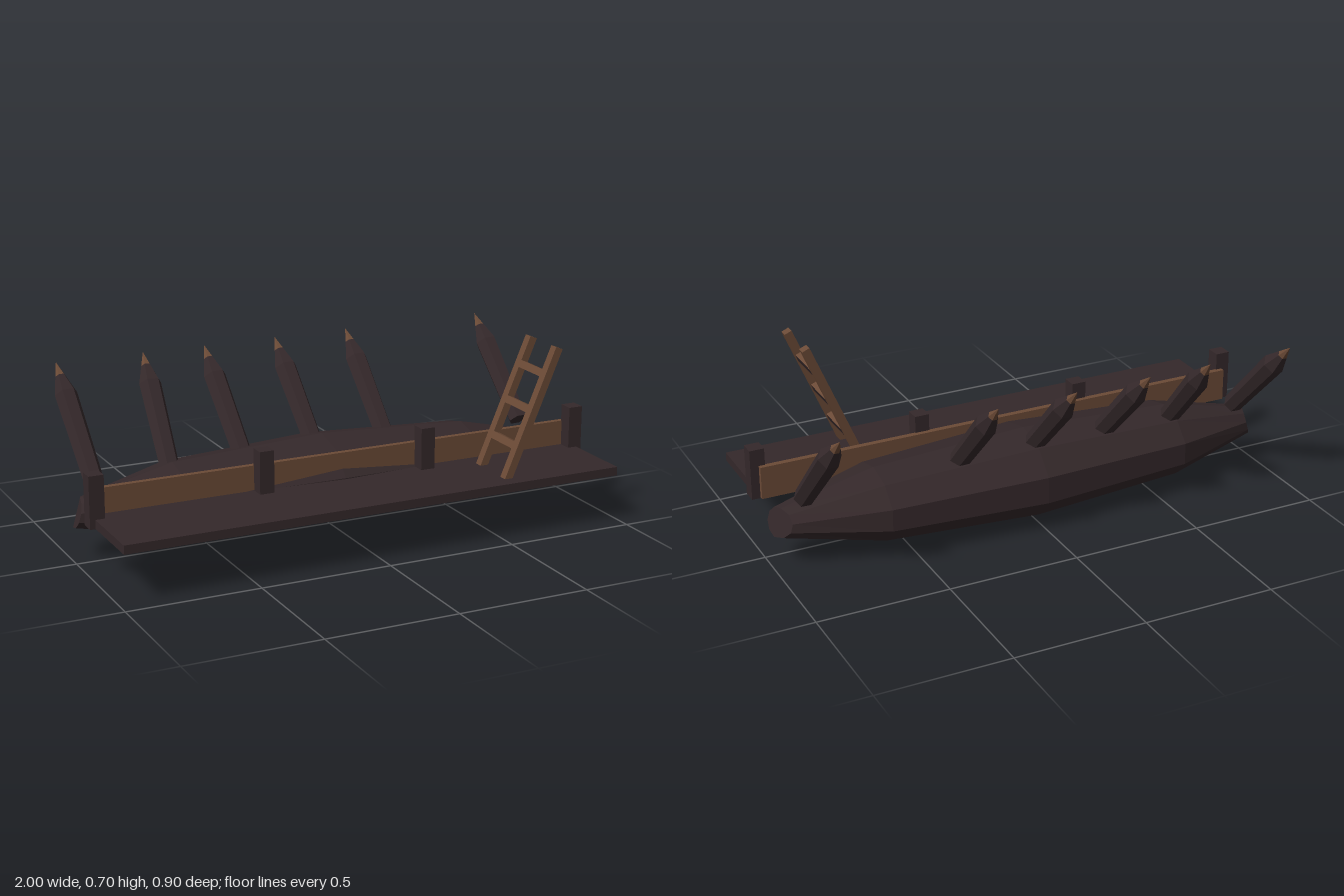
import * as THREE from 'three';

const dark = new THREE.MeshStandardMaterial({ color: 0x34282a });
dark.name = 'dark timber';
const brown = new THREE.MeshStandardMaterial({ color: 0x6b4a36 });
brown.name = 'brown wood';

function add(parent, name, geometry, material, x = 0, y = 0, z = 0) {
  const mesh = new THREE.Mesh(geometry, material);
  mesh.name = name;
  mesh.position.set(x, y, z);
  parent.add(mesh);
  return mesh;
}

// Box given by its limits on each axis
function box(parent, name, material, x0, x1, y0, y1, z0, z1) {
  return add(parent, name, new THREE.BoxGeometry(x1 - x0, y1 - y0, z1 - z0), material,
    (x0 + x1) / 2, (y0 + y1) / 2, (z0 + z1) / 2);
}

function faceted(geometry) {
  const flat = geometry.toNonIndexed();
  flat.computeVertexNormals();
  return flat;
}

// Ten-sided log along x, tapering to blunt ends
function logGeometry() {
  const geometry = new THREE.CylinderGeometry(1, 1, 4, 10, 4, false, Math.PI / 2);
  geometry.rotateZ(Math.PI / 2);
  const p = geometry.attributes.position;
  const stations = [0, 0.6, 0.97];
  const scales = [1, 0.815, 0.32];
  for (let i = 0; i < p.count; i++) {
    const ring = Math.round(Math.abs(p.getX(i)));
    const s = scales[ring];
    const y = p.getY(i), z = p.getZ(i);
    const slant = ring === 2 ? -0.015 * y + 0.02 * z - 0.01 * Math.abs(z) : 0;
    p.setXYZ(i, Math.sign(p.getX(i)) * (stations[ring] + slant), y * 0.168 * s, z * 0.22 * s);
  }
  return faceted(geometry);
}

// Sharpened stake from a base point to a tip point
function stake(parent, baseX, tipX) {
  const base = new THREE.Vector3(baseX, 0.27, -0.108);
  const tip = new THREE.Vector3(tipX, 0.63, -0.446);
  const length = base.distanceTo(tip);
  const group = new THREE.Group();
  group.name = 'stake';
  group.position.copy(base);
  group.quaternion.setFromUnitVectors(new THREE.Vector3(0, 1, 0),
    tip.clone().sub(base).normalize());
  parent.add(group);
  const point = 0.135, tipLength = 0.06, shaft = length - point;
  const tipRadius = 0.043 * tipLength / point;
  const turn = Math.PI / 6;
  const part = (name, top, bottom, height, y, material, open) => add(group, name,
    faceted(new THREE.CylinderGeometry(top, bottom, height, 6, 1, open, turn)),
    material, 0, y + height / 2, 0);
  part('stakeShaft', 0.043, 0.038, shaft, 0, dark, false);
  part('stakePoint', tipRadius, 0.043, point - tipLength, shaft, dark, true);
  part('stakeTip', 0, tipRadius, tipLength, length - tipLength, brown, true);
}

// Ladder leaning toward +x
function ladder(parent) {
  const group = new THREE.Group();
  group.name = 'ladder';
  const lean = 0.4;
  group.position.set(0.635, 0.44, 0.288);
  group.rotation.z = -lean;
  parent.add(group);
  for (const side of [-1, 1]) {
    add(group, 'ladderRail', new THREE.BoxGeometry(0.03, 0.55, 0.034), brown, 0, 0, side * 0.09);
  }
  // Rungs are dark on the outer face and underside
  const rungMaterials = [dark, brown, brown, dark, brown, brown];
  for (const height of [0.331, 0.463, 0.593]) {
    add(group, 'ladderRung', new THREE.BoxGeometry(0.03, 0.028, 0.15), rungMaterials,
      0, (height - 0.44) / Math.cos(lean), 0);
  }
}

export function createModel() {
  const model = new THREE.Group();
  model.name = 'palisadeWalkway';

  add(model, 'log', logGeometry(), dark, 0, 0.172, -0.07);

  // Walkway with a plank rail and four posts
  box(model, 'platform', dark, -0.98, 0.98, 0.187, 0.22, 0.11, 0.45);
  box(model, 'railPlank', brown, -0.968, 0.968, 0.19, 0.315, 0.09, 0.112);
  for (const x of [-0.972, -0.328, 0.328, 0.972]) {
    box(model, 'post', dark, x - 0.028, x + 0.028, 0.186, 0.38, 0.108, 0.165);
  }

  ladder(model);

  // Row of stakes with one gap
  const stakes = [[-0.888, -0.904], [-0.594, -0.563], [-0.3, -0.316],
    [-0.006, -0.022], [0.292, 0.283], [0.882, 0.866]];
  for (const [baseX, tipX] of stakes) stake(model, baseX, tipX);

  return model;
}
